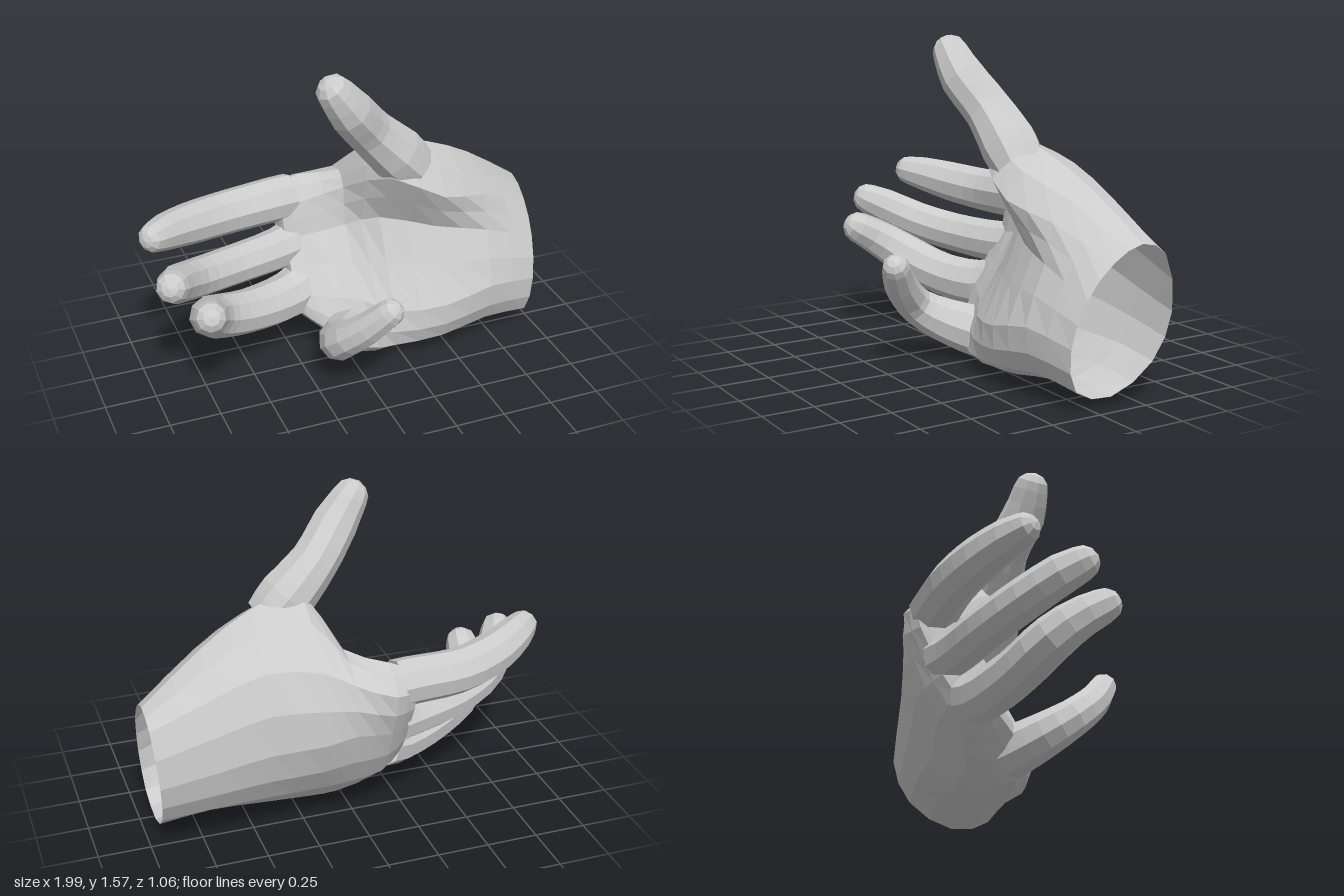
import * as THREE from 'three';

const material = new THREE.MeshStandardMaterial({ color: 0xcccccc, flatShading: true, side: THREE.DoubleSide });

// Skin a list of equal-sized rings; the far end closes onto a point.
function loft(name, rings, endPoint) {
  const n = rings[0].length;
  const positions = [...rings.flat(), endPoint].flatMap((p) => [p.x, p.y, p.z]);
  const index = [];
  for (let i = 0; i < rings.length - 1; i++) {
    for (let j = 0; j < n; j++) {
      const a = i * n + j, b = i * n + (j + 1) % n;
      index.push(a, b, b + n, a, b + n, a + n);
    }
  }
  const last = (rings.length - 1) * n;
  for (let j = 0; j < n; j++) index.push(last + j, last + (j + 1) % n, last + n);
  const geometry = new THREE.BufferGeometry();
  geometry.setAttribute('position', new THREE.Float32BufferAttribute(positions, 3));
  geometry.setIndex(index);
  geometry.computeVertexNormals();
  const mesh = new THREE.Mesh(geometry, material);
  mesh.name = name;
  return mesh;
}

// Tapered digit along a path of [x, y, z, radius], with a rounded tip.
function digit(name, path, steps = 10, sides = 9) {
  const curve = new THREE.CatmullRomCurve3(path.map(([x, y, z]) => new THREE.Vector3(x, y, z)));
  const frames = curve.computeFrenetFrames(steps);
  const ring = (centre, r, i) => Array.from({ length: sides }, (_, j) => {
    const a = (j + 0.5) / sides * Math.PI * 2;
    return centre.clone()
      .addScaledVector(frames.normals[i], r * Math.cos(a))
      .addScaledVector(frames.binormals[i], r * Math.sin(a));
  });
  const rings = [];
  for (let i = 0; i <= steps; i++) {
    const s = curve.getUtoTmapping(i / steps) * (path.length - 1);
    const k = Math.min(Math.floor(s), path.length - 2);
    rings.push(ring(curve.getPointAt(i / steps), THREE.MathUtils.lerp(path[k][3], path[k + 1][3], s - k), i));
  }
  const end = curve.getPointAt(1), r = path[path.length - 1][3], dir = frames.tangents[steps];
  for (const a of [0.55, 1.05]) {
    rings.push(ring(end.clone().addScaledVector(dir, r * Math.sin(a)), r * Math.cos(a), steps));
  }
  return loft(name, rings, end.clone().addScaledVector(dir, r));
}

// Palm sections from wrist to knuckles: x, then [y, z] from the thumb edge over the
// back of the hand, round the lower edge, up the palm and over the ball of the thumb.
const palmSections = [
  [0.97, [[0.73, -0.22], [0.67, -0.35], [0.40, -0.41], [0.18, -0.32], [0.05, -0.10], [0.10, 0.09], [0.30, 0.13], [0.51, 0.06], [0.66, -0.07]]],
  [0.70, [[0.94, -0.15], [0.79, -0.36], [0.45, -0.43], [0.20, -0.33], [0.08, -0.08], [0.13, 0.13], [0.35, 0.19], [0.62, 0.09], [0.80, 0.05]]],
  [0.45, [[1.07, -0.09], [0.88, -0.37], [0.50, -0.45], [0.20, -0.32], [0.04, -0.05], [0.10, 0.16], [0.30, 0.20], [0.66, 0.03], [0.87, 0.13]]],
  [0.20, [[1.13, -0.08], [0.86, -0.41], [0.52, -0.48], [0.20, -0.32], [0.01, -0.04], [0.08, 0.13], [0.28, 0.13], [0.70, -0.09], [0.99, 0.07]]],
  [0.06, [[0.90, -0.28], [0.80, -0.47], [0.55, -0.49], [0.22, -0.34], [0.005, -0.03], [0.08, 0.10], [0.32, 0.03], [0.63, -0.20], [0.83, -0.22]]],
  [-0.12, [[0.855, -0.39], [0.74, -0.525], [0.52, -0.47], [0.25, -0.34], [0.14, -0.15], [0.18, 0.0], [0.33, -0.06], [0.59, -0.24], [0.76, -0.28]]],
  [-0.23, [[0.81, -0.40], [0.73, -0.48], [0.52, -0.41], [0.31, -0.29], [0.23, -0.19], [0.25, -0.11], [0.36, -0.13], [0.57, -0.28], [0.72, -0.31]]],
];

function palm() {
  const sides = 18, lengthSteps = 12;
  const outlines = palmSections.map(([x, points], s) => {
    // The wrist opening leans slightly outward at the top.
    const lean = s === 0 ? 0.08 : 0;
    const loop = new THREE.CatmullRomCurve3(
      points.map(([y, z]) => new THREE.Vector3(x + (y - 0.4) * lean, y, z)), true);
    return Array.from({ length: sides }, (_, j) => loop.getPoint(j / sides));
  });
  const strands = Array.from({ length: sides }, (_, j) =>
    new THREE.CatmullRomCurve3(outlines.map((o) => o[j])));
  const rings = Array.from({ length: lengthSteps + 1 }, (_, i) =>
    strands.map((c) => c.getPoint(i / lengthSteps)));
  return loft('palm', rings, new THREE.Vector3(-0.24, 0.52, -0.32));
}

// Each digit runs from just inside the palm to the centre of its rounded tip.
const digits = {
  thumb: [[0.34, 0.985, -0.02, 0.12], [0.26, 1.07, -0.02, 0.14],
    [0.10, 1.235, 0.005, 0.115], [-0.02, 1.38, 0.07, 0.11], [-0.10, 1.49, 0.09, 0.088]],
  indexFinger: [[-0.16, 0.74, -0.395, 0.115], [-0.25, 0.74, -0.385, 0.115], [-0.50, 0.735, -0.355, 0.11], [-0.70, 0.755, -0.28, 0.105],
    [-0.85, 0.785, -0.19, 0.09], [-0.92, 0.80, -0.135, 0.075]],
  middleFinger: [[-0.17, 0.51, -0.335, 0.115], [-0.28, 0.505, -0.295, 0.105], [-0.54, 0.515, -0.21, 0.1], [-0.74, 0.555, -0.10, 0.098],
    [-0.87, 0.63, 0.04, 0.093], [-0.91, 0.67, 0.12, 0.08]],
  ringFinger: [[-0.17, 0.325, -0.21, 0.12], [-0.26, 0.305, -0.17, 0.12], [-0.50, 0.33, -0.07, 0.11], [-0.68, 0.40, 0.025, 0.108],
    [-0.755, 0.485, 0.14, 0.095], [-0.775, 0.55, 0.25, 0.08]],
  littleFinger: [[0.03, 0.145, 0.0, 0.125], [-0.03, 0.165, 0.06, 0.12], [-0.11, 0.21, 0.16, 0.105], [-0.14, 0.28, 0.27, 0.09],
    [-0.06, 0.40, 0.39, 0.08], [0.025, 0.515, 0.465, 0.067]],
};

export function createModel() {
  const hand = new THREE.Group();
  hand.name = 'hand';
  hand.add(palm());
  for (const [name, path] of Object.entries(digits)) hand.add(digit(name, path));
  return hand;
}
